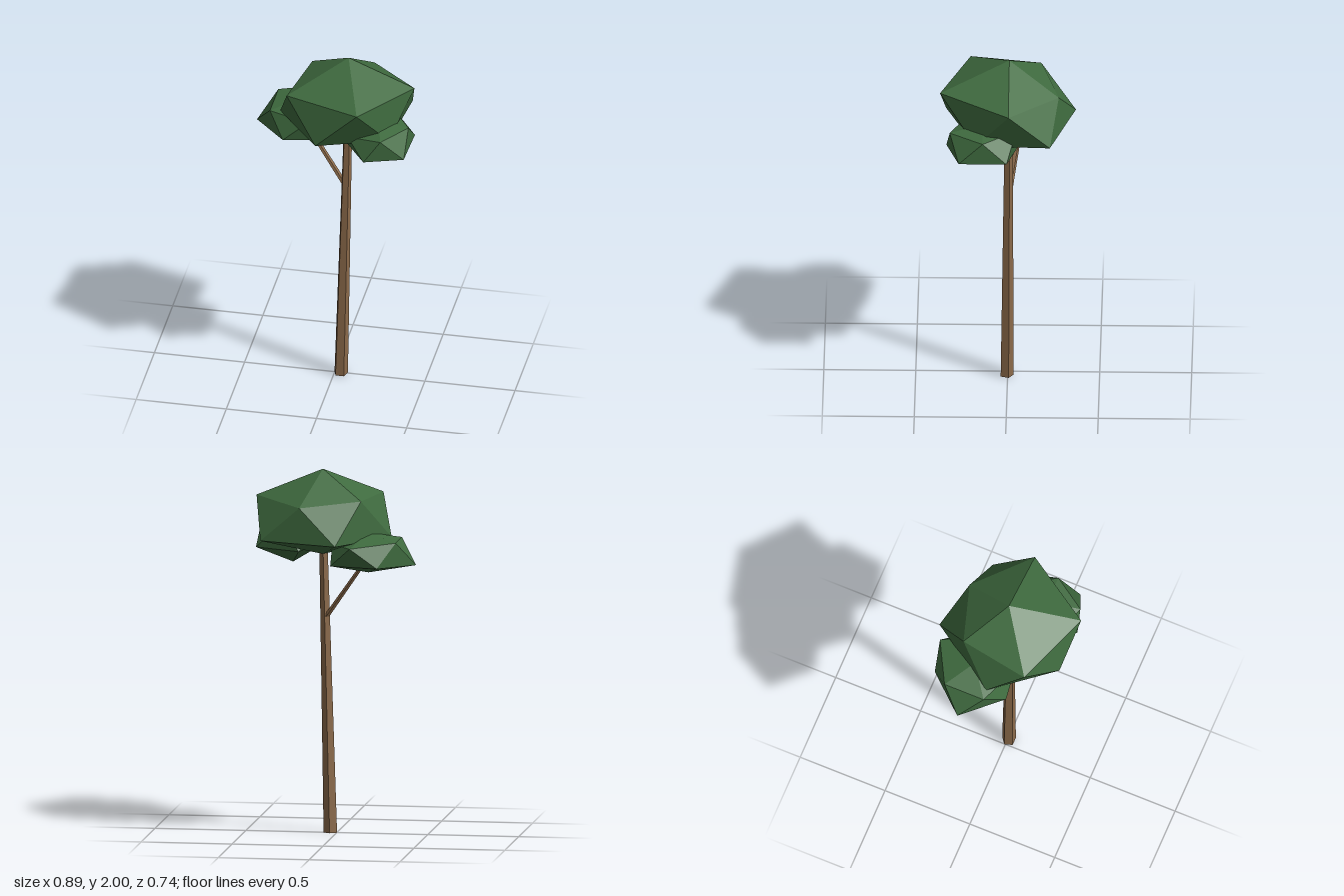
import * as THREE from 'three';

const bark = new THREE.MeshStandardMaterial({ color: 0x8b6a4a });
bark.name = 'bark brown';
const leaf = new THREE.MeshStandardMaterial({ color: 0x3f6b3f });
leaf.name = 'leaf green';

// Split faces so every facet has its own flat normal
function facetedMesh(name, geometry, material) {
  const flat = geometry.index ? geometry.toNonIndexed() : geometry;
  flat.computeVertexNormals();
  const mesh = new THREE.Mesh(flat, material);
  mesh.name = name;
  return mesh;
}

// Twenty-sided clump: apex, upper ring, staggered lower ring, underside point
function clump(name, top, upper, lower, bottom) {
  const p = [];
  const n = upper.length;
  for (let i = 0; i < n; i++) {
    const j = (i + 1) % n;
    p.push(...top, ...upper[j], ...upper[i]);
    p.push(...upper[i], ...upper[j], ...lower[i]);
    p.push(...lower[i], ...upper[j], ...lower[j]);
    p.push(...lower[i], ...lower[j], ...bottom);
  }
  const g = new THREE.BufferGeometry();
  g.setAttribute('position', new THREE.Float32BufferAttribute(p, 3));
  return facetedMesh(name, g, leaf);
}

// Tapered five-sided limb whose end rings stay level, sheared from a to b
function limb(name, a, b, r0, r1) {
  const h = b[1] - a[1];
  const g = new THREE.CylinderGeometry(r1, r0, h, 5, 1, false, Math.PI);
  const pos = g.attributes.position;
  for (let i = 0; i < pos.count; i++) {
    const t = pos.getY(i) / h + 0.5;
    pos.setXYZ(i,
      pos.getX(i) + a[0] + (b[0] - a[0]) * t,
      a[1] + h * t,
      pos.getZ(i) + a[2] + (b[2] - a[2]) * t);
  }
  return facetedMesh(name, g, bark);
}

export function createModel() {
  const tree = new THREE.Group();
  tree.name = 'tree';

  // Leaning trunk and one side branch
  tree.add(limb('trunk', [0.035, 0, 0.006], [0.072, 1.58, -0.004], 0.039, 0.024));
  tree.add(limb('branch', [0.055, 1.19, -0.012], [-0.17, 1.51, -0.075], 0.017, 0.013));

  // Large crown
  tree.add(clump('crown', [0.075, 2, -0.01],
    [[0.44, 1.85, -0.01], [0.195, 1.86, 0.365], [-0.225, 1.85, 0.205], [-0.16, 1.85, -0.18], [0.165, 1.82, -0.28]],
    [[0.335, 1.61, 0.17], [-0.04, 1.63, 0.335], [-0.3, 1.63, 0.01], [-0.045, 1.625, -0.37], [0.385, 1.63, -0.235]],
    [0.075, 1.53, 0]));

  // Clump carried by the branch
  tree.add(clump('branchFoliage', [-0.19, 1.67, -0.1],
    [[0.01, 1.6, -0.1], [-0.13, 1.63, 0.11], [-0.355, 1.63, 0.02], [-0.355, 1.63, -0.21], [-0.12, 1.61, -0.335]],
    [[0, 1.5, 0.04], [-0.265, 1.51, 0.115], [-0.45, 1.495, -0.095], [-0.265, 1.5, -0.305], [0, 1.5, -0.24]],
    [-0.19, 1.45, -0.1]));

  // Clump on the opposite side, toward the front
  tree.add(clump('sideFoliage', [0.27, 1.71, 0.13],
    [[0.435, 1.68, 0.13], [0.315, 1.68, 0.31], [0.12, 1.65, 0.24], [0.12, 1.65, 0.02], [0.31, 1.69, -0.05]],
    [[0.435, 1.555, 0.26], [0.225, 1.555, 0.33], [0.055, 1.59, 0.13], [0.2, 1.55, -0.07], [0.445, 1.56, 0]],
    [0.26, 1.465, 0.13]));

  return tree;
}
